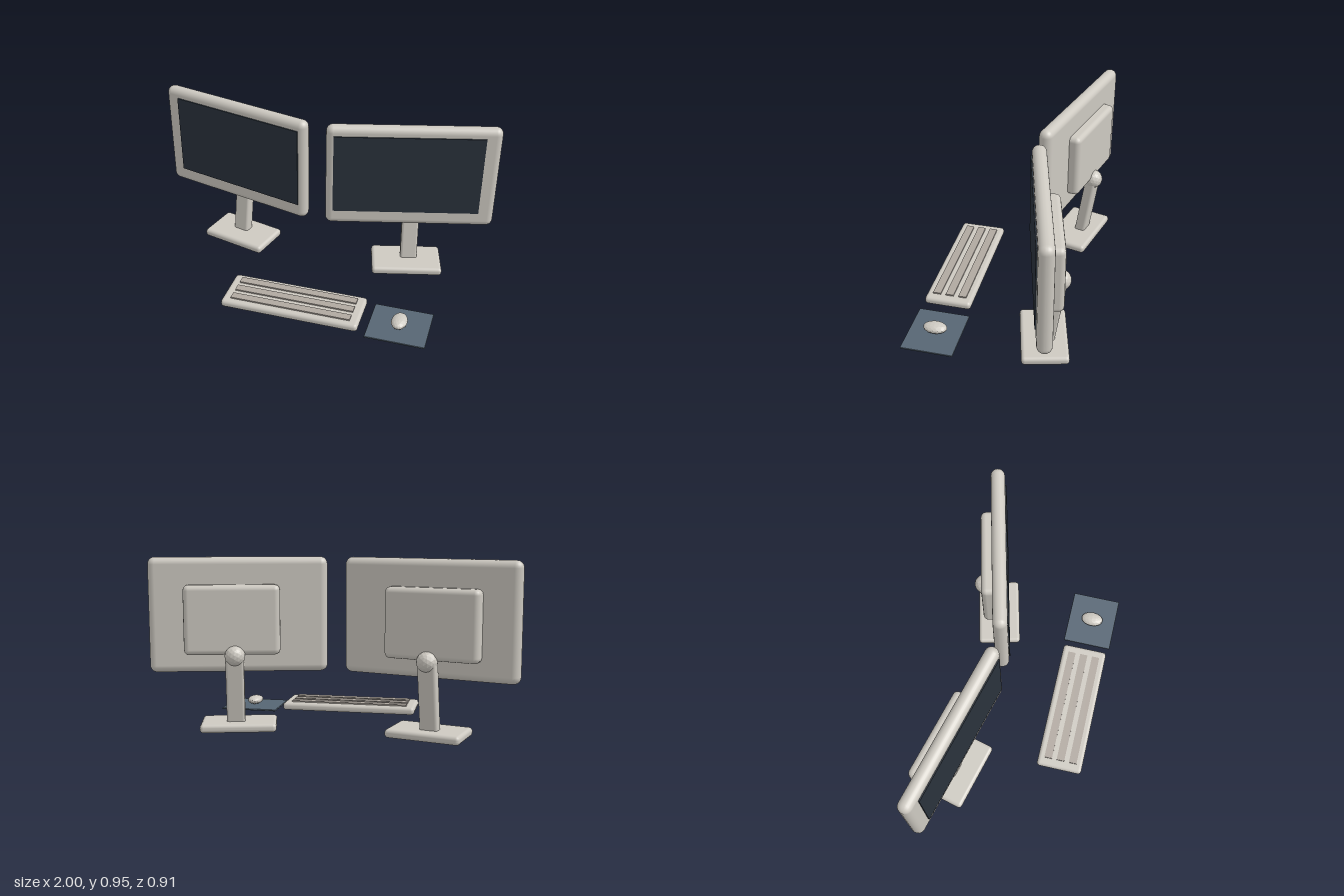
import * as THREE from 'three';
import { RoundedBoxGeometry } from 'three/addons/geometries/RoundedBoxGeometry.js';

const shell = new THREE.MeshStandardMaterial({ color: 0xcdc9c1 });
const facetedShell = new THREE.MeshStandardMaterial({ color: 0xcdc9c1, flatShading: true });
const glass = new THREE.MeshStandardMaterial({ color: 0x2a323c });
const keys = new THREE.MeshStandardMaterial({ color: 0xb0a8a0 });
const cloth = new THREE.MeshStandardMaterial({ color: 0x566573 });

function add(parent, name, geometry, material, x, y, z) {
  const mesh = new THREE.Mesh(geometry, material);
  mesh.name = name;
  mesh.position.set(x, y, z);
  parent.add(mesh);
  return mesh;
}

const rounded = (w, h, d, r, segments = 2) => new RoundedBoxGeometry(w, h, d, segments, r);

// One display on its stand; side is +1 (left) or -1 (right)
function createDisplay(side) {
  const display = new THREE.Group();
  display.name = side > 0 ? 'leftDisplay' : 'rightDisplay';
  display.position.set(side * 0.525, 0, -0.258);
  display.rotation.y = side * 0.25;

  add(display, 'housing', rounded(0.973, 0.63, 0.08, 0.039, 3), shell, 0, 0.635, 0);
  add(display, 'screen', new THREE.BoxGeometry(0.84, 0.48, 0.02), glass, side * -0.025, 0.655, 0.037);
  add(display, 'backPlate', rounded(0.52, 0.38, 0.09, 0.03), shell, side * 0.033, 0.613, -0.059);

  // Leaning neck with a ball joint at the top
  const neck = add(display, 'neck', rounded(0.1, 0.39, 0.065, 0.015), shell, side * 0.02, 0.23, -0.07);
  neck.rotation.x = -0.148;
  add(display, 'ballJoint', new THREE.IcosahedronGeometry(0.056, 2), facetedShell, side * 0.018, 0.42, -0.101);
  add(display, 'base', rounded(0.415, 0.048, 0.255, 0.02), shell, side * 0.005, 0.028, -0.021);
  return display;
}

export function createModel() {
  const model = new THREE.Group();
  model.name = 'desktopSet';
  for (const side of [1, -1]) model.add(createDisplay(side));

  // Keyboard with three rows of keys
  const keyboard = new THREE.Group();
  keyboard.name = 'keyboard';
  model.add(keyboard);
  add(keyboard, 'keyboardBody', rounded(0.795, 0.046, 0.27, 0.02), shell, 0, 0.032, 0.307);
  for (const z of [0.232, 0.307, 0.382]) {
    add(keyboard, 'keyRow', new THREE.BoxGeometry(0.695, 0.014, 0.046), keys, 0, 0.056, z);
  }

  // Mouse on its pad
  add(model, 'mousePad', rounded(0.335, 0.01, 0.293, 0.003, 1), cloth, 0.608, 0.006, 0.309);
  const mouse = add(model, 'mouse', new THREE.IcosahedronGeometry(1, 2), facetedShell, 0.607, 0.039, 0.309);
  mouse.scale.set(0.045, 0.026, 0.068);
  return model;
}
